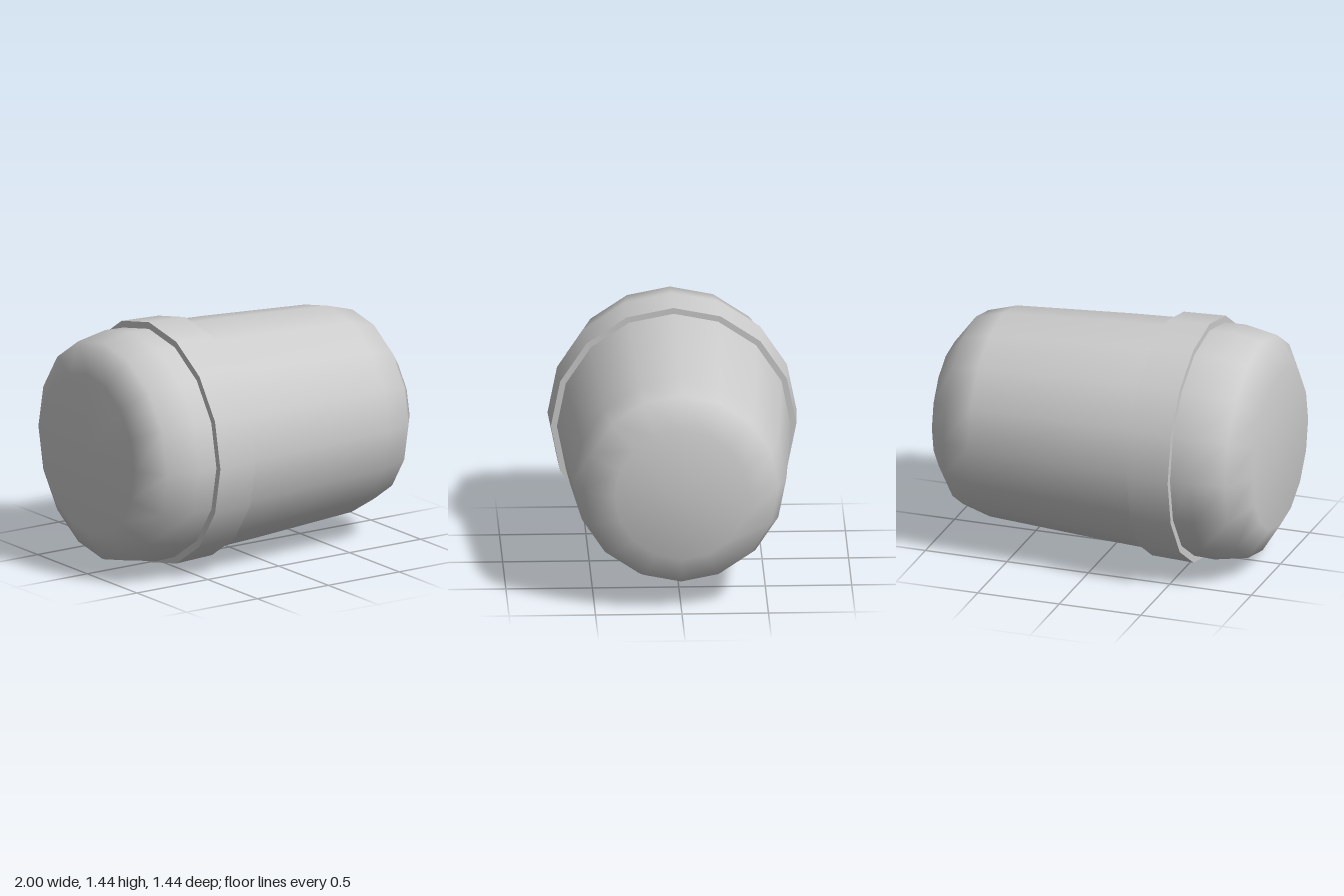
import * as THREE from 'three';

const SIDES = 16;
const CENTRE_Y = 0.72;

export function createModel() {
  const group = new THREE.Group();
  group.name = 'bandedBarrel';
  const grey = new THREE.MeshStandardMaterial({ color: 0xcccccc });
  grey.name = 'light grey';

  // Revolves [position along x, radius] pairs about the horizontal axis
  const revolve = (name, profile, parent) => {
    const points = profile.map(([x, r]) => new THREE.Vector2(r, x));
    const geometry = new THREE.LatheGeometry(points, SIDES);
    geometry.rotateZ(-Math.PI / 2);
    geometry.translate(0, CENTRE_Y, 0);
    const mesh = new THREE.Mesh(geometry, grey);
    mesh.name = name;
    parent.add(mesh);
  };

  // Tapered body with rounded shoulders and closed, softly shaded ends
  revolve('body', [
    [-1, 0], [-1, 0.475], [-0.89, 0.65], [-0.69, 0.685], [-0.57, 0.68],
    [-0.31, 0.675], [0, 0.66], [0.7, 0.615], [0.87, 0.565], [1, 0.39], [1, 0],
  ], group);

  // Raised band: separate strips keep its rims sharp
  const band = new THREE.Group();
  band.name = 'band';
  group.add(band);
  const edges = [[-0.565, 0.66], [-0.565, 0.72], [-0.31, 0.71], [-0.31, 0.66]];
  ['bandLeftRim', 'bandOuter', 'bandRightRim'].forEach((name, i) => {
    revolve(name, [edges[i], edges[i + 1]], band);
  });

  return group;
}
